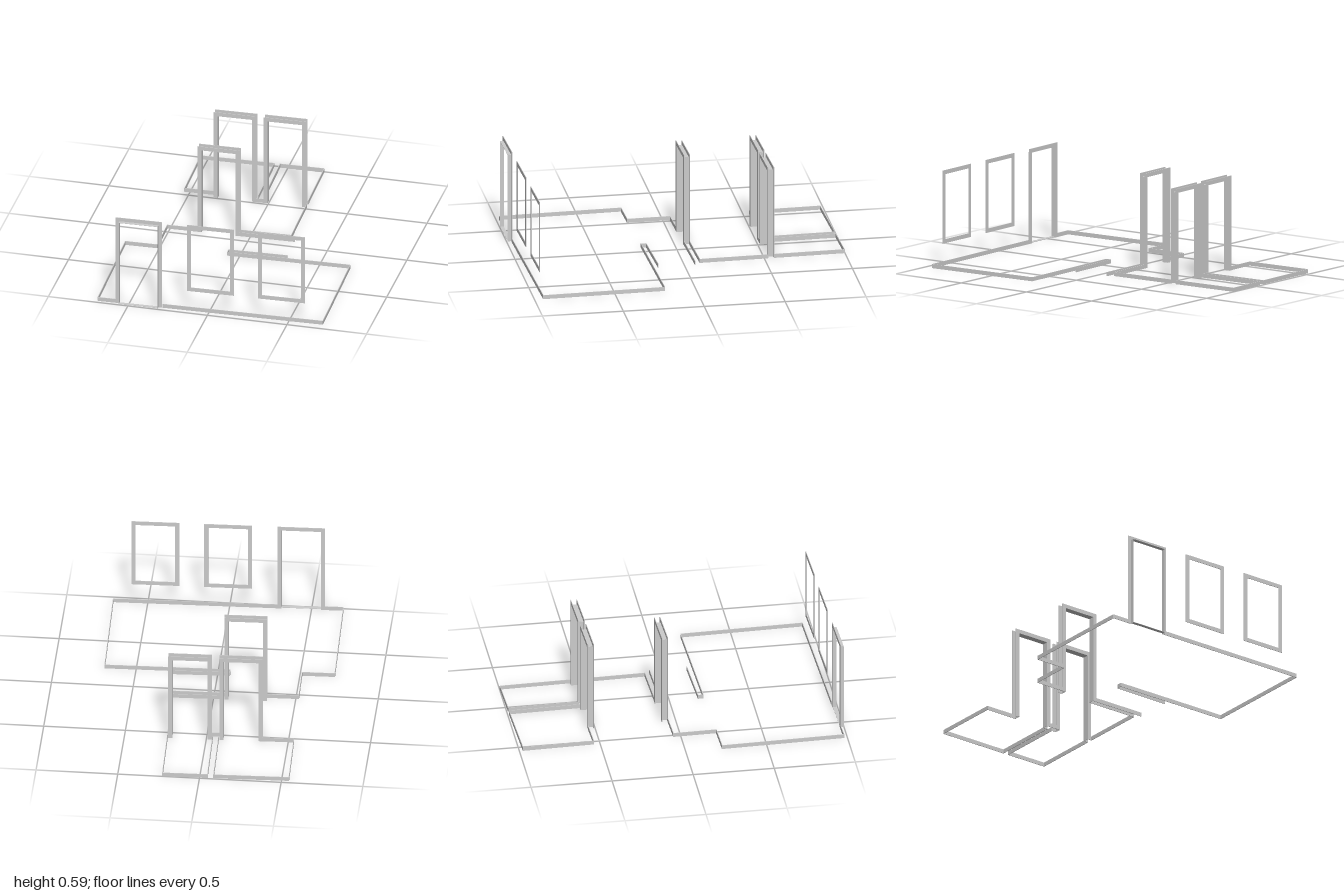
import * as THREE from 'three';

const T = 0.004;        // board thickness
const LINING = 0.002;   // door lining thickness
const TRIM = 0.025;     // trim width and skirting height
const TOP = 0.587;      // top of all door and window trims
const TILT = 0.0255;    // the whole plan is turned slightly about y

const material = new THREE.MeshStandardMaterial({ color: 0xcccccc, flatShading: true });

function box(name, w, h, d, x, y, z) {
  const mesh = new THREE.Mesh(new THREE.BoxGeometry(w, h, d), material);
  mesh.name = name;
  mesh.position.set(x, y, z);
  return mesh;
}

// Skirting boards along a run of [x, z] plan points
function skirting(name, points) {
  const group = new THREE.Group();
  group.name = name;
  for (let i = 0; i < points.length - 1; i++) {
    const [x0, z0] = points[i], [x1, z1] = points[i + 1];
    const dx = x1 - x0, dz = z1 - z0;
    const board = box('skirtingBoard', Math.hypot(dx, dz), TRIM, T,
      (x0 + x1) / 2, TRIM / 2, (z0 + z1) / 2);
    board.rotation.y = Math.atan2(-dz, dx);
    group.add(board);
  }
  return group;
}

// Flat trim around an opening; a door trim is open at the floor
function trim(name, width, bottom, z) {
  const w = width / 2, i = w - TRIM, top = TOP - TRIM;
  const pts = (list) => list.map(([x, y]) => new THREE.Vector2(x, y));
  let shape;
  if (bottom > 0) {
    shape = new THREE.Shape(pts([[-w, bottom], [w, bottom], [w, TOP], [-w, TOP]]));
    const b = bottom + TRIM;
    shape.holes.push(new THREE.Path(pts([[-i, b], [-i, top], [i, top], [i, b]])));
  } else {
    shape = new THREE.Shape(pts([[-w, 0], [-i, 0], [-i, top], [i, top],
      [i, 0], [w, 0], [w, TOP], [-w, TOP]]));
  }
  const geometry = new THREE.ExtrudeGeometry(shape, { depth: T, bevelEnabled: false });
  const mesh = new THREE.Mesh(geometry.translate(0, 0, z - T / 2), material);
  mesh.name = name;
  return mesh;
}

// Door: lining between zBack and zFront, with trim on the chosen faces
function door(name, x, width, zBack, zFront, { frontTrim = true, sill = false } = {}) {
  const group = new THREE.Group();
  group.name = name;
  const depth = zFront - zBack, half = width / 2 - TRIM, top = TOP - TRIM;
  group.add(trim('backTrim', width, 0, -depth / 2));
  if (frontTrim) group.add(trim('frontTrim', width, 0, depth / 2));
  for (const s of [-1, 1])
    group.add(box('sideLining', LINING, top, depth, s * (half + LINING / 2), top / 2, 0));
  group.add(box('headLining', 2 * half, LINING, depth, 0, top + LINING / 2, 0));
  if (sill) group.add(box('sill', 2 * half, LINING, depth, 0, 0.005, 0));
  group.position.set(x, 0, (zBack + zFront) / 2);
  group.rotation.y = TILT;
  return group;
}

function windowTrim(name, x, z) {
  const mesh = trim(name, 0.293, 0.134, 0);
  mesh.position.set(x, 0, z);
  mesh.rotation.y = TILT;
  return mesh;
}

export function createModel() {
  const model = new THREE.Group();
  model.name = 'roomTrim';

  model.add(
    // Large front room
    skirting('mainRoomSkirting', [[-0.291, 0.969], [0.711, 0.945], [0.692, 0.191],
      [-0.075, 0.209], [-0.075, 0.177], [0.290, 0.164]]),
    skirting('mainRoomLeftSkirting', [[-0.582, 0.976], [-0.694, 0.979], [-0.713, 0.225],
      [-0.513, 0.220], [-0.518, -0.045], [-0.328, -0.050]]),
    skirting('mainRoomBackSkirting', [[-0.066, -0.057], [0.281, -0.066]]),
    // Hall between the doors
    skirting('hallSkirting', [[-0.066, -0.091], [0.248, -0.100], [0.238, -0.523]]),
    skirting('hallBackSkirting', [[-0.079, -0.515], [-0.031, -0.516]]),
    // Two back rooms
    skirting('backLeftRoomSkirting', [[-0.343, -0.544], [-0.534, -0.539],
      [-0.545, -0.977], [-0.085, -0.990], [-0.075, -0.552]]),
    skirting('backRightRoomSkirting', [[-0.031, -0.555], [-0.038, -0.555],
      [-0.048, -0.990], [0.227, -0.997], [0.237, -0.560]]),
  );

  model.add(
    door('frontDoor', -0.437, 0.290, 0.973, 0.996, { frontTrim: false, sill: true }),
    door('middleDoor', -0.197, 0.262, -0.088, -0.053),
    door('backLeftDoor', -0.211, 0.264, -0.548, -0.512),
    door('backRightDoor', 0.101, 0.264, -0.557, -0.520),
    windowTrim('middleWindow', 0.009, 0.962),
    windowTrim('rightWindow', 0.454, 0.952),
  );
  return model;
}
